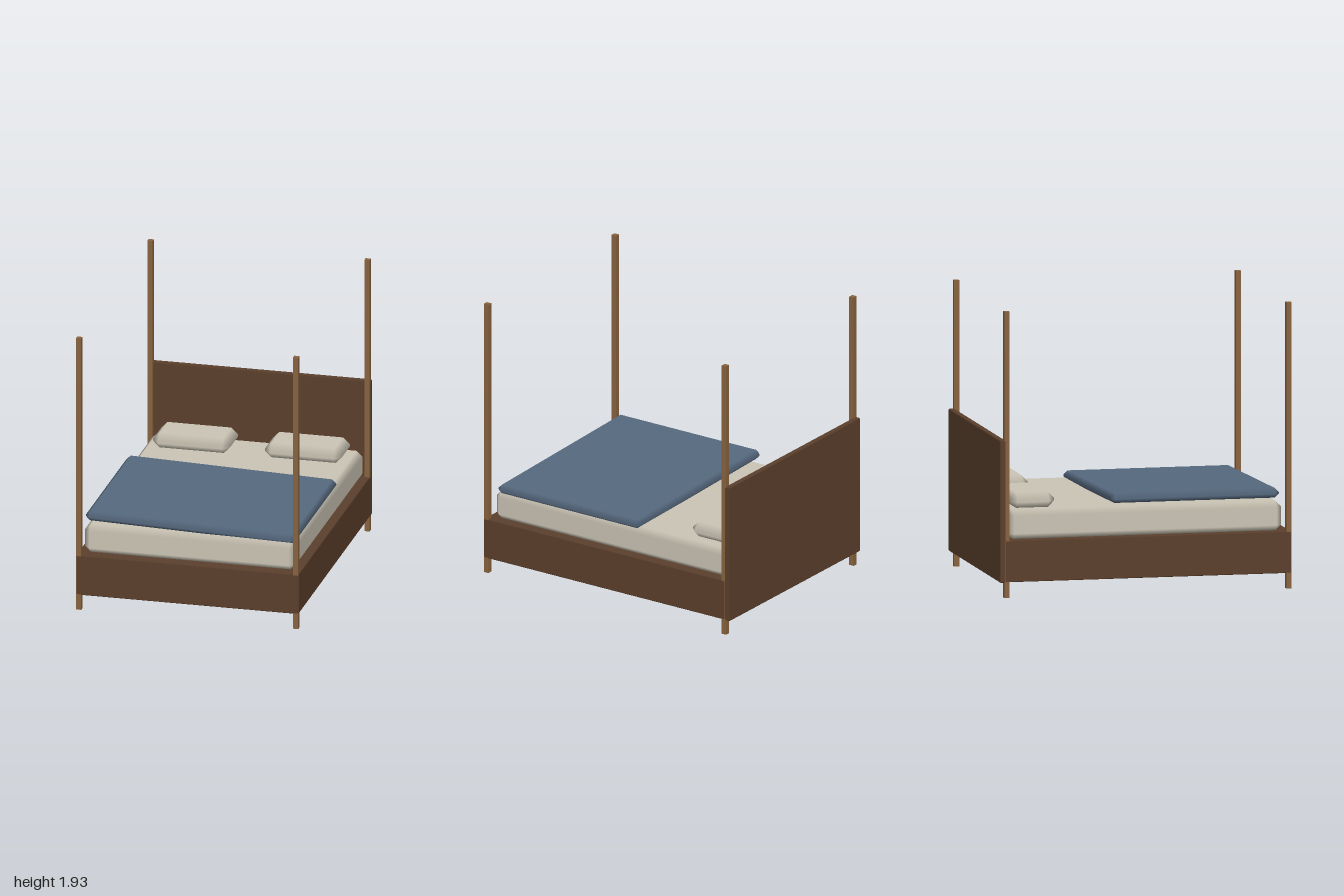
import * as THREE from 'three';
import { ConvexGeometry } from 'three/addons/geometries/ConvexGeometry.js';

// Box with a single chamfer; flat faces keep flat normals, chamfers blend between them
function bevelBox(w, h, d, bevel) {
  const half = [w / 2, h / 2, d / 2];
  const points = [];
  for (let axis = 0; axis < 3; axis++) {
    for (const sx of [-1, 1]) for (const sy of [-1, 1]) for (const sz of [-1, 1]) {
      const c = [sx, sy, sz].map((s, i) => s * (half[i] - (i === axis ? 0 : bevel)));
      points.push(new THREE.Vector3(...c));
    }
  }
  const geometry = new ConvexGeometry(points);
  const pos = geometry.attributes.position;
  const normal = geometry.attributes.normal;
  for (let i = 0; i < pos.count; i++) {
    const c = [pos.getX(i), pos.getY(i), pos.getZ(i)];
    normal.setXYZ(i, ...c.map((v, k) => (Math.abs(v) > half[k] - bevel / 2 ? Math.sign(v) : 0)));
  }
  return geometry;
}

export function createModel() {
  const group = new THREE.Group();
  group.name = 'fourPosterBed';

  const material = (name, color) => {
    const m = new THREE.MeshStandardMaterial({ color });
    m.name = name;
    return m;
  };
  const darkWood = material('darkWood', 0x5c402c);
  const lightWood = material('lightWood', 0x8a6440);
  const linen = material('linen', 0xcbc5b5);
  const blue = material('blueFabric', 0x56697f);

  const add = (name, geometry, mat, x, y, z) => {
    const mesh = new THREE.Mesh(geometry, mat);
    mesh.name = name;
    mesh.position.set(x, y, z);
    group.add(mesh);
    return mesh;
  };

  // Frame and headboard
  add('bedFrame', bevelBox(1.534, 0.28, 1.96, 0.006), darkWood, 0, 0.245, 0.02);
  add('headboard', bevelBox(1.534, 0.96, 0.045, 0.008), darkWood, 0, 0.582, -0.9775);

  // Corner posts
  const postGeometry = new THREE.BoxGeometry(0.036, 1.93, 0.036);
  for (const [end, z] of [['front', 0.981], ['back', -0.95]]) {
    for (const [side, x] of [['Left', 0.747], ['Right', -0.747]]) {
      add(`${end}${side}Post`, postGeometry, lightWood, x, 0.965, z);
    }
  }

  // Bedding
  add('mattress', bevelBox(1.45, 0.197, 1.875, 0.038), linen, 0, 0.4835, 0.0075);
  const blanket = add('blanket', bevelBox(1.445, 0.065, 1.155, 0.028), blue, 0, 0.617, 0.35);
  blanket.rotation.z = -0.031;

  const pillowGeometry = bevelBox(0.53, 0.105, 0.305, 0.045);
  add('leftPillow', pillowGeometry, linen, 0.385, 0.632, -0.743);
  add('rightPillow', pillowGeometry, linen, -0.385, 0.632, -0.743);

  return group;
}
